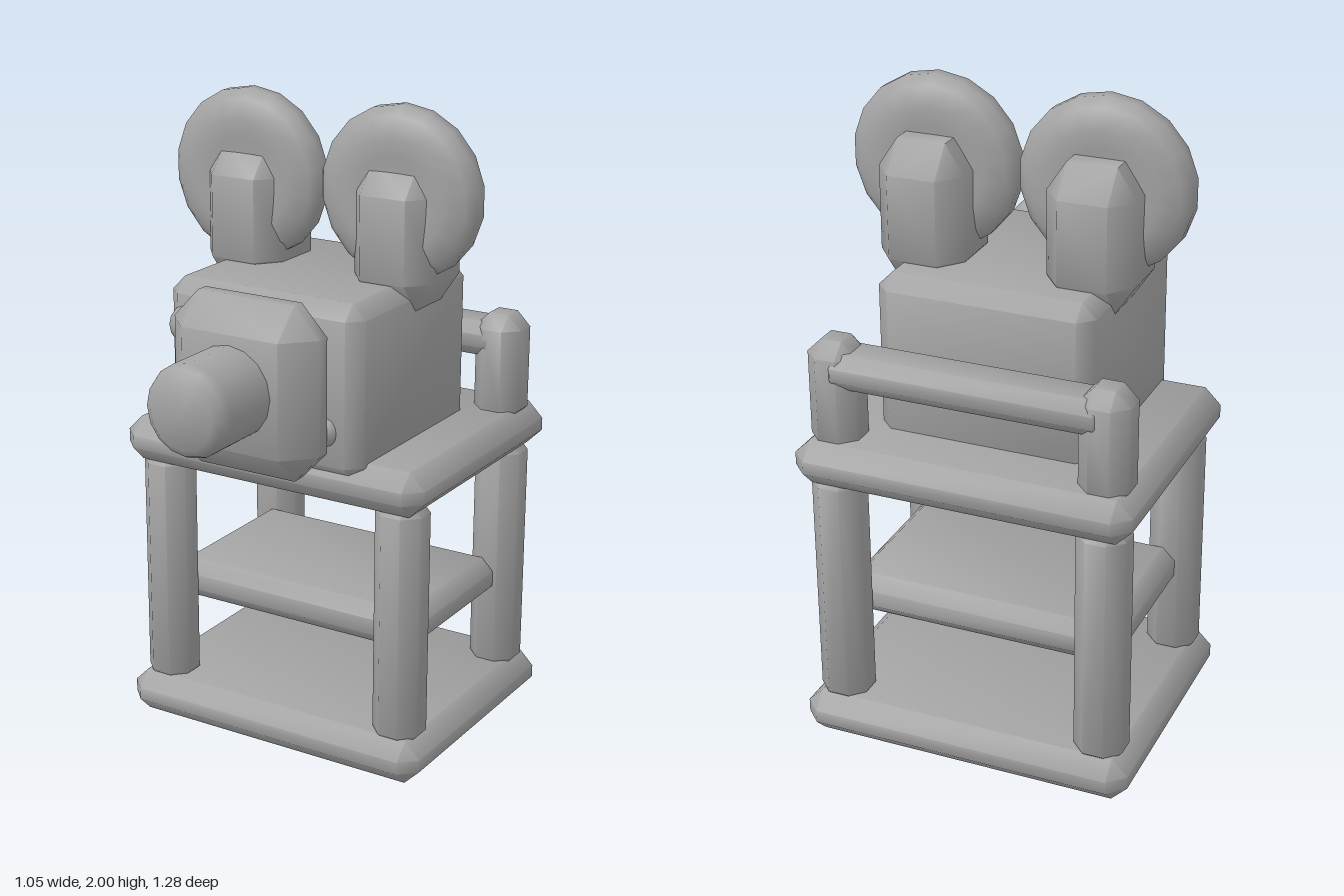
import * as THREE from 'three';
import { toCreasedNormals } from 'three/addons/utils/BufferGeometryUtils.js';
import { ConvexGeometry } from 'three/addons/geometries/ConvexGeometry.js';

const CREASE = 0.9;

// Box between two corners with bevelled edges; c = bevel per axis
function bevelBox([x0, x1], [y0, y1], [z0, z1], [cx, cy, cz]) {
  const hx = (x1 - x0) / 2, hy = (y1 - y0) / 2, hz = (z1 - z0) / 2;
  const points = [];
  for (const i of [-1, 1]) for (const j of [-1, 1]) for (const k of [-1, 1]) {
    points.push(
      new THREE.Vector3(i * hx, j * (hy - cy), k * (hz - cz)),
      new THREE.Vector3(i * (hx - cx), j * hy, k * (hz - cz)),
      new THREE.Vector3(i * (hx - cx), j * (hy - cy), k * hz)
    );
  }
  const geometry = toCreasedNormals(new ConvexGeometry(points), CREASE);
  return geometry.translate((x0 + x1) / 2, (y0 + y1) / 2, (z0 + z1) / 2);
}

// Turned shape along +z from [radius, z] pairs
function turned(profile, sides) {
  const points = profile.map(([r, z]) => new THREE.Vector2(r, z));
  return toCreasedNormals(new THREE.LatheGeometry(points, sides).rotateX(Math.PI / 2), CREASE);
}

export function createModel() {
  const model = new THREE.Group();
  model.name = 'filmCameraOnCart';
  const grey = new THREE.MeshStandardMaterial({ color: 0xa3a3a3 });
  grey.name = 'grey';

  function add(name, geometry, x = 0, y = 0, z = 0) {
    const mesh = new THREE.Mesh(geometry, grey);
    mesh.name = name;
    mesh.position.set(x, y, z);
    model.add(mesh);
    return mesh;
  }

  // Cart: two decks and a smaller shelf
  const deckBevel = [0.05, 0.05, 0.05];
  add('bottomDeck', bevelBox([-0.525, 0.525], [0, 0.14], [-0.64, 0.23], deckBevel));
  add('topDeck', bevelBox([-0.525, 0.525], [0.865, 1.005], [-0.64, 0.23], deckBevel));
  add('middleShelf', bevelBox([-0.44, 0.44], [0.37, 0.5], [-0.485, 0.08], [0.04, 0.04, 0.04]));

  // Legs and the posts of the back rail
  const postBevel = [0.045, 0.045, 0.045];
  for (const side of [-1, 1]) {
    const word = side > 0 ? 'left' : 'right';
    const x = [side * 0.418 - 0.077, side * 0.418 + 0.077];
    add(word + 'FrontLeg', bevelBox(x, [0.1, 0.9], [0.04, 0.19], postBevel));
    add(word + 'BackLeg', bevelBox(x, [0.1, 0.9], [-0.6, -0.45], postBevel));
    add(word + 'RailPost', bevelBox(x, [0.96, 1.31], [-0.585, -0.43], postBevel));
  }
  add('backRail', bevelBox([-0.43, 0.43], [1.17, 1.28], [-0.592, -0.43], [0.03, 0.035, 0.035]));

  // Camera body, front hood and lens
  add('cameraBody', bevelBox([-0.335, 0.335], [0.95, 1.485], [-0.435, 0.24], [0.045, 0.045, 0.045]));
  add('frontHood', bevelBox([-0.25, 0.25], [0.957, 1.488], [0.18, 0.4], [0.085, 0.09, 0.09]));
  add('lens', turned([[0, 0.36], [0.14, 0.36], [0.14, 0.595], [0.13, 0.62], [0.105, 0.64], [0, 0.64]].reverse(), 16)
    .scale(1, 1, 1), 0, 1.228, 0);

  // Small knobs beside the hood
  const knob = (r) => new THREE.SphereGeometry(r, 10, 8);
  add('upperKnob', knob(0.068), -0.255, 1.345, 0.215);
  for (const side of [-1, 1]) add('lowerKnob', knob(0.05), side * 0.22, 1.1, 0.22);

  // Film reels and the domed posts that carry them
  const reelProfile = [
    [0, 0.055], [0.12, 0.06], [0.175, 0.067], [0.235, 0.045], [0.263, 0.02],
    [0.263, -0.02], [0.235, -0.045], [0.175, -0.067], [0.12, -0.06], [0, -0.055],
  ];
  for (const side of [-1, 1]) {
    const word = side > 0 ? 'left' : 'right';
    add(word + 'Reel', turned(reelProfile, 18), side * 0.263, 1.74, -0.127);
    const x = [side * 0.26 - 0.135, side * 0.26 + 0.135];
    add(word + 'ReelPost', bevelBox(x, [1.4, 1.835], [-0.322, -0.015], [0.06, 0.09, 0.075]));
  }

  // Face the turned surfaces outward
  model.traverse((part) => {
    if (!part.isMesh) return;
    const p = part.geometry.attributes.position;
    const a = new THREE.Vector3(), b = new THREE.Vector3(), c = new THREE.Vector3();
    let volume = 0;
    for (let i = 0; i < p.count && !part.geometry.index; i += 3) {
      a.fromBufferAttribute(p, i); b.fromBufferAttribute(p, i + 1); c.fromBufferAttribute(p, i + 2);
      volume += a.dot(b.cross(c));
    }
    if (volume < 0) {
      for (let i = 0; i < p.count; i += 3) {
        a.fromBufferAttribute(p, i + 1); c.fromBufferAttribute(p, i + 2);
        p.setXYZ(i + 1, c.x, c.y, c.z); p.setXYZ(i + 2, a.x, a.y, a.z);
      }
      part.geometry.deleteAttribute('normal');
      part.geometry = toCreasedNormals(part.geometry, CREASE);
    }
  });
  return model;
}
